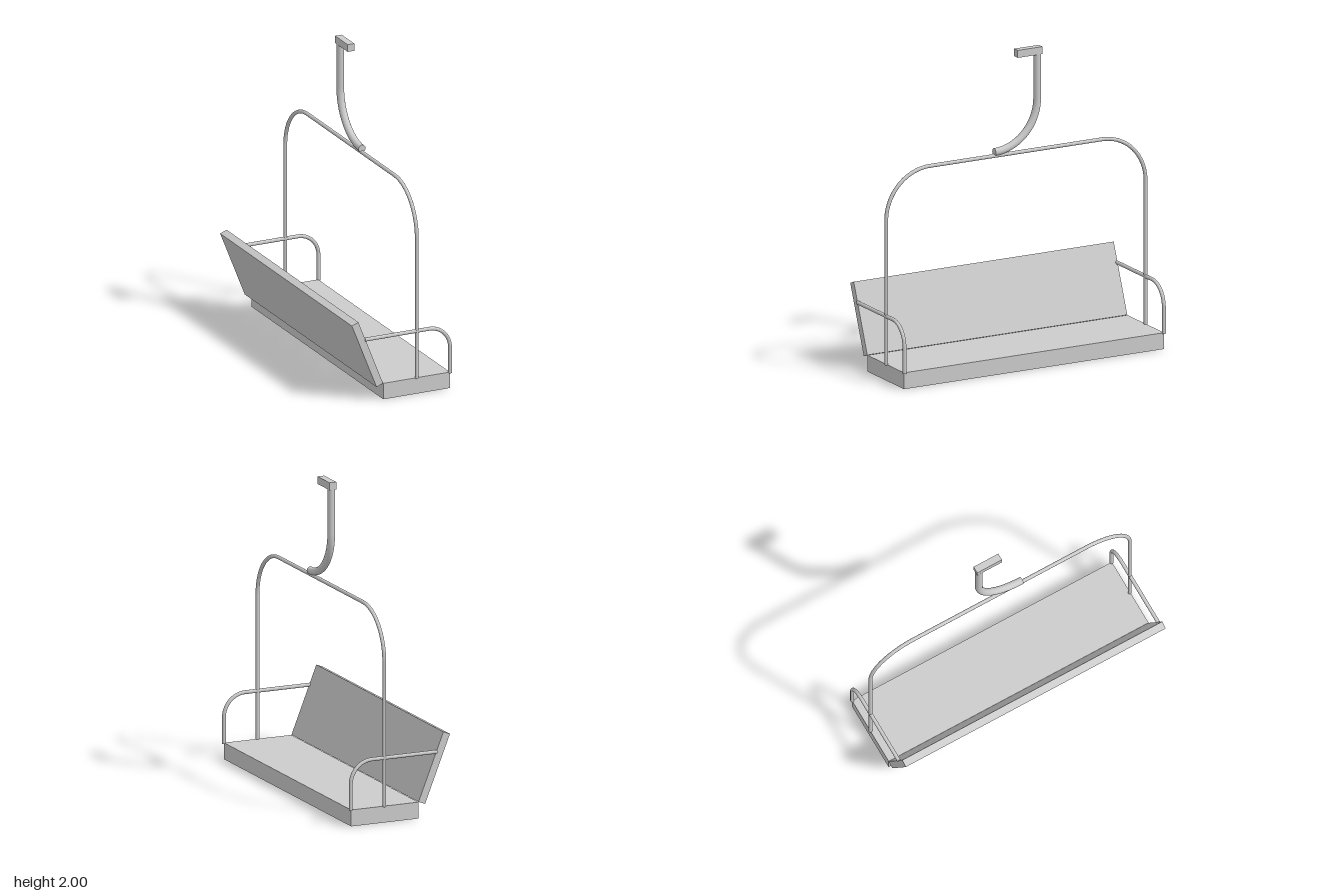
import * as THREE from 'three';

const material = new THREE.MeshStandardMaterial({ color: 0xcccccc, side: THREE.DoubleSide });
const FRAME_X = 0.102;

// A flat 2D path placed in space by a mapping function
class PlacedCurve extends THREE.Curve {
  constructor(path, place) {
    super();
    this.path = path;
    this.place = place;
  }
  getPoint(t, target = new THREE.Vector3()) {
    const p = this.path.getPoint(t);
    return target.copy(this.place(p.x, p.y));
  }
}

// Round bar with closed ends
function bar(name, path, place, radius, segments) {
  const group = new THREE.Group();
  group.name = name;
  const curve = new PlacedCurve(path, place);
  group.add(new THREE.Mesh(new THREE.TubeGeometry(curve, segments, radius, 20), material));
  for (const t of [0, 1]) {
    const cap = new THREE.Mesh(new THREE.CircleGeometry(radius, 20), material);
    const end = curve.getPointAt(t);
    const outward = curve.getTangentAt(t).multiplyScalar(t ? 1 : -1);
    cap.position.copy(end);
    cap.lookAt(end.clone().add(outward));
    group.add(cap);
  }
  group.children.forEach((mesh, i) => { mesh.name = i ? name + 'End' : name + 'Tube'; });
  return group;
}

function box(name, w, h, d, x, y, z) {
  const mesh = new THREE.Mesh(new THREE.BoxGeometry(w, h, d), material);
  mesh.name = name;
  mesh.position.set(x, y, z);
  return mesh;
}

export function createModel() {
  const model = new THREE.Group();
  model.name = 'chairliftChair';

  // Bench: flat seat and reclined backrest
  model.add(box('seat', 0.46, 0.105, 1.85, 0.1, 0.0525, 0));
  const backrest = box('backrest', 0.048, 0.462, 1.85, -0.239, 0.312, 0);
  backrest.rotation.z = 0.377;
  model.add(backrest);

  // Arched bail spanning the seat (path axes: z, y)
  const inFramePlane = (z, y) => new THREE.Vector3(FRAME_X, y, z);
  const arch = new THREE.Path();
  arch.moveTo(0.923, 0.1);
  arch.lineTo(0.923, 1.027);
  arch.absarc(0.613, 1.027, 0.31, 0, Math.PI / 2, false);
  arch.lineTo(-0.613, 1.337);
  arch.absarc(-0.613, 1.027, 0.31, Math.PI / 2, Math.PI, false);
  arch.lineTo(-0.923, 0.1);
  model.add(bar('hangerFrame', arch, inFramePlane, 0.012, 180));

  // Armrests, one at each end (path axes: x, y)
  for (const side of [1, -1]) {
    const arm = new THREE.Path();
    arm.moveTo(-0.256, 0.413);
    arm.lineTo(0.187, 0.413);
    arm.absarc(0.187, 0.269, 0.144, Math.PI / 2, 0, true);
    arm.lineTo(0.331, 0.1);
    const place = (x, y) => new THREE.Vector3(x, y, side * 0.923);
    model.add(bar(side > 0 ? 'frontArmrest' : 'rearArmrest', arm, place, 0.012, 64));
  }

  // Suspension arm curving down onto the frame, with the cable grip on top
  const stem = new THREE.Path();
  stem.moveTo(-0.151, 1.96);
  stem.lineTo(-0.151, 1.668);
  stem.absarc(0.155, 1.668, 0.306, Math.PI, Math.PI * 1.5, false);
  model.add(bar('suspensionArm', stem, inFramePlane, 0.024, 64));
  model.add(box('cableGrip', 0.046, 0.048, 0.176, FRAME_X, 1.976, -0.088));

  return model;
}
